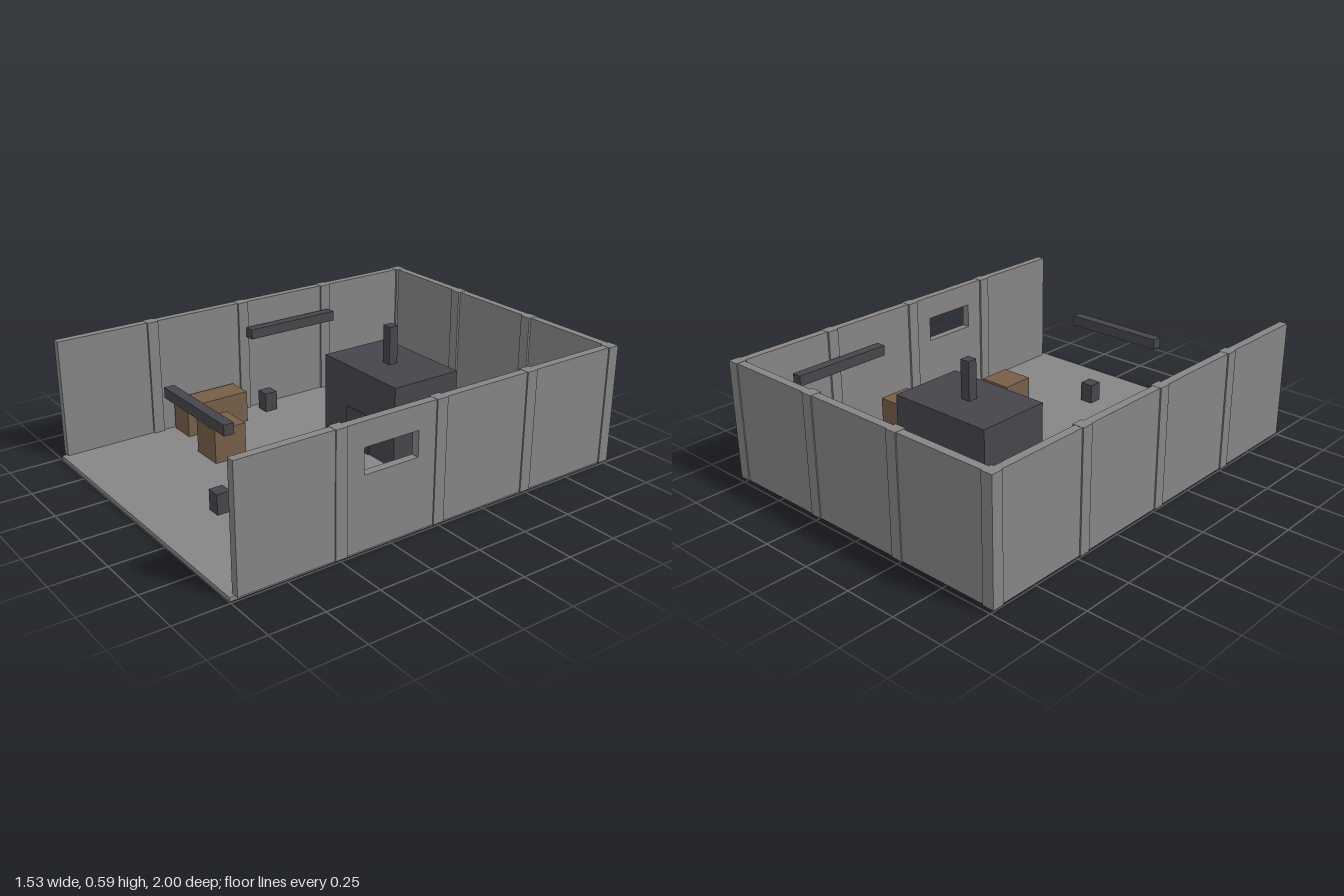
import * as THREE from 'three';

export function createModel() {
  const group = new THREE.Group();
  const material = (name, color) => {
    const m = new THREE.MeshStandardMaterial({ color });
    m.name = name;
    return m;
  };
  const concrete = material('concrete grey', 0x868484);
  const iron = material('dark iron', 0x46454b);
  const wood = material('crate brown', 0x755e49);

  const FLOOR = 0.02, TOP = 0.577;

  // Box given by its ranges along each axis
  const box = (name, mat, [x0, x1], [y0, y1], [z0, z1]) => {
    const mesh = new THREE.Mesh(new THREE.BoxGeometry(x1 - x0, y1 - y0, z1 - z0), mat);
    mesh.position.set((x0 + x1) / 2, (y0 + y1) / 2, (z0 + z1) / 2);
    mesh.name = name;
    group.add(mesh);
    return mesh;
  };

  // Floor slab and back wall
  box('floor', concrete, [-0.74, 0.74], [0, FLOOR], [-0.97, 1]);
  box('backWall', concrete, [-0.76, 0.76], [FLOOR, TOP], [-0.995, -0.957]);
  box('rightWall', concrete, [-0.76, -0.722], [FLOOR, TOP], [-0.957, 0.977]);

  // Left wall with window opening; shape x runs along -z
  const rect = (Type, a, b, c, d) => {
    const p = new Type();
    p.moveTo(a, c);
    p.lineTo(b, c);
    p.lineTo(b, d);
    p.lineTo(a, d);
    p.closePath();
    return p;
  };
  const wallShape = rect(THREE.Shape, -0.977, 0.957, FLOOR, TOP);
  wallShape.holes.push(rect(THREE.Path, -0.397, -0.13, 0.35, 0.467));
  const leftWall = new THREE.Mesh(
    new THREE.ExtrudeGeometry(wallShape, { depth: 0.038, bevelEnabled: false }), concrete);
  leftWall.rotation.y = Math.PI / 2;
  leftWall.position.x = 0.722;
  leftWall.name = 'leftWall';
  group.add(leftWall);

  // Wall pillars, standing slightly proud on both faces
  for (const side of [-1, 1]) {
    for (const z of [-0.973, -0.477, 0.015, 0.508]) {
      const x = side * 0.739;
      box('sidePillar', concrete, [x - 0.027, x + 0.027], [FLOOR, TOP + 0.001], [z - 0.027, z + 0.027]);
    }
    const x = side * 0.247;
    box('backPillar', concrete, [x - 0.027, x + 0.027], [FLOOR, TOP + 0.001], [-1, -0.946]);
  }

  // Furnace with door and chimney
  box('furnace', iron, [-0.262, 0.262], [FLOOR, 0.41], [-0.515, -0.155]);
  box('furnaceDoor', iron, [-0.085, 0.082], [FLOOR, 0.21], [-0.156, -0.148]);
  box('chimney', iron, [-0.024, 0.024], [0.41, 0.593], [-0.357, -0.311]);

  // Workbench
  box('workbench', iron, [0.227, 0.62], [FLOOR, 0.18], [-0.89, -0.632]);

  // Raised rails
  const RAIL_Y = [0.405, 0.454];
  box('frontRail', iron, [-0.248, 0.245], RAIL_Y, [0.66, 0.708]);
  box('rightRail', iron, [-0.699, -0.651], RAIL_Y, [-0.484, 0.009]);
  box('leftRail', iron, [0.645, 0.693], RAIL_Y, [-0.731, -0.239]);

  // Small blocks on the floor below the rails
  for (const [x, z] of [[0.144, 0.681], [-0.647, -0.072], [0.642, -0.602]]) {
    box('floorBlock', iron, [x - 0.033, x + 0.033], [FLOOR, 0.116], [z - 0.033, z + 0.033]);
  }

  // Crates
  box('longCrate', wood, [-0.709, -0.578], [FLOOR, 0.174], [0.092, 0.422]);
  for (const [x, z] of [[-0.331, 0.387], [0.392, 0.321], [0.588, -0.17]]) {
    box('crate', wood, [x - 0.081, x + 0.081], [FLOOR, 0.182], [z - 0.081, z + 0.081]);
  }

  return group;
}
